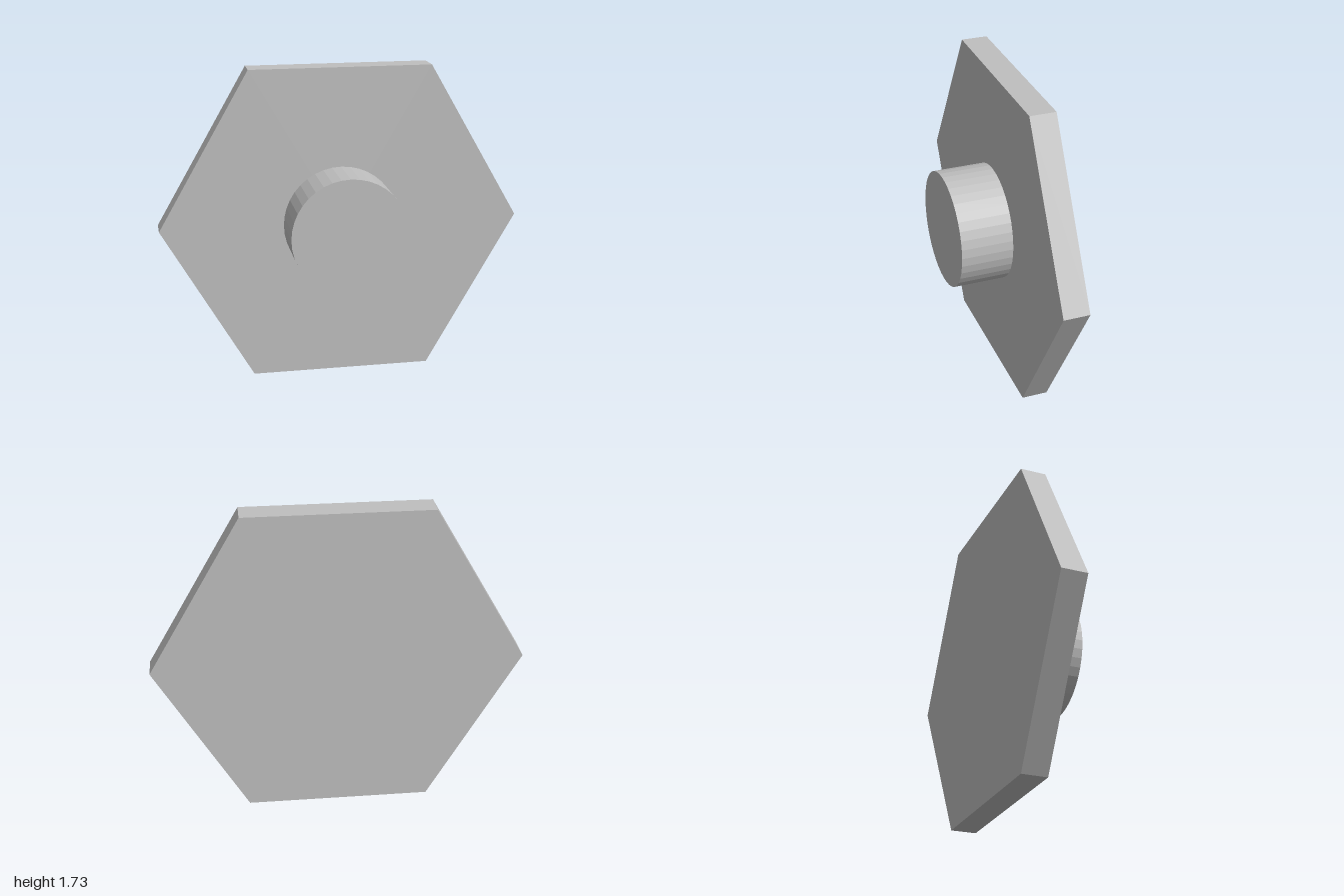
import * as THREE from 'three';

const CENTER_Y = Math.sqrt(3) / 2; // hexagon with unit corner radius rests on y = 0

// Prism along z between two depths, with its first corner on the x axis
function prism(name, radius, sides, zBack, zFront, material) {
  const geometry = new THREE.CylinderGeometry(radius, radius, zFront - zBack, sides, 1, false, Math.PI / 2);
  geometry.rotateX(Math.PI / 2);
  const mesh = new THREE.Mesh(geometry.toNonIndexed(), material);
  mesh.geometry.computeVertexNormals(); // faceted sides
  mesh.position.set(0, CENTER_Y, (zBack + zFront) / 2);
  mesh.name = name;
  return mesh;
}

export function createModel() {
  const grey = new THREE.MeshStandardMaterial({ color: 0xbfbfbf });
  grey.name = 'plain grey';

  const group = new THREE.Group();
  group.name = 'hexagonalPlateWithBoss';
  group.add(
    prism('hexagonPlate', 1, 6, -0.214, -0.072, grey),
    prism('roundBoss', 0.32, 40, -0.072, 0.214, grey),
  );
  return group;
}
